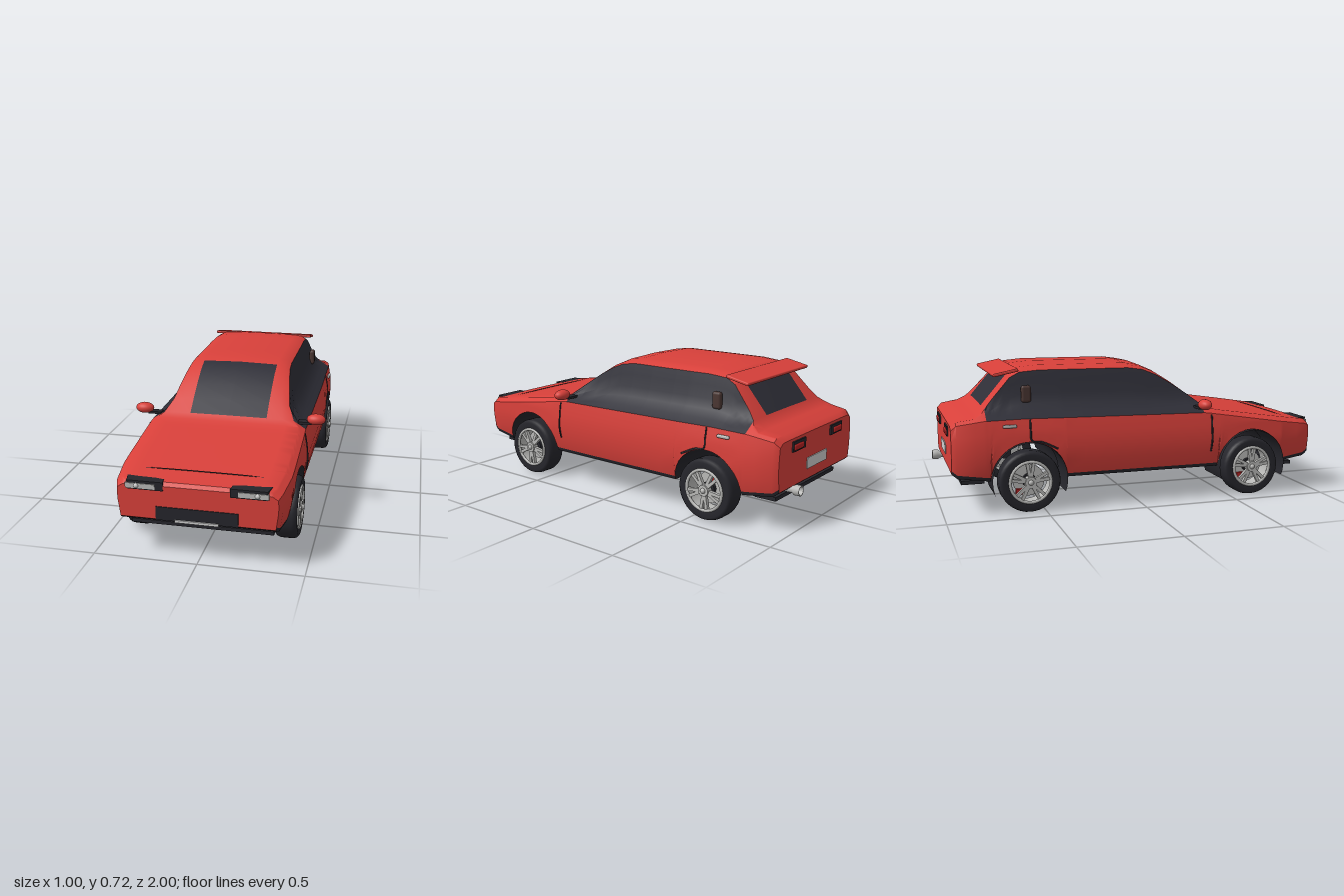
import * as THREE from 'three';
import { toCreasedNormals } from 'three/addons/utils/BufferGeometryUtils.js';
import { RoundedBoxGeometry } from 'three/addons/geometries/RoundedBoxGeometry.js';

const mat = (name, color, side = THREE.FrontSide) =>
  Object.assign(new THREE.MeshStandardMaterial({ color, side }), { name });
const red = mat('red paint', 0xd8403a);
const glass = mat('dark glass', 0x2e2e37);
const trim = mat('black trim', 0x25252b, THREE.DoubleSide);
const rubber = mat('tyre rubber', 0x26262c);
const silver = mat('silver metal', 0xb9b9b7, THREE.DoubleSide);
const pale = mat('number plate grey', 0xcfcfcf);
const brown = mat('brown vent', 0x4a3632);
const lamp = mat('lamp red', 0xb32222);

// Piecewise linear lookup in a table of [key, value] with rising keys
function look(table, v) {
  if (v <= table[0][0]) return table[0][1];
  for (let i = 1; i < table.length; i++) {
    const [a, p] = table[i - 1], [b, q] = table[i];
    if (v <= b) return p + (q - p) * (v - a) / (b - a);
  }
  return table[table.length - 1][1];
}

// Body lines along z: centre top, belt, half width and floor
const TOP = [[-.955, .44], [-.93, .462], [-.84, .475], [-.8, .50], [-.65, .68], [-.6, .708], [-.5, .717],
  [-.03, .715], [.05, .703], [.12, .672], [.2, .62], [.28, .56], [.35, .50], [.38, .477], [.45, .464],
  [.6, .442], [.8, .412], [.97, .386], [.985, .37]];
const BELT = [[-.955, .42], [-.93, .445], [-.8, .464], [-.6, .468], [.36, .455], [.8, .387], [.96, .364], [.985, .35]];
const WIDTH = [[-.955, .37], [-.93, .39], [-.8, .41], [-.4, .42], [.4, .42], [.8, .41], [.95, .39], [.985, .375]];
const FLOOR = [[-.955, .205], [-.93, .185], [-.77, .165], [.81, .165], [.96, .185], [.985, .205]];
// Side bulge by height, and how far the cabin leans in above the belt
const BULGE = [[.16, .93], [.2, .965], [.3, 1], [.4, .985], [.47, .95]];
const LEAN = [[0, 0], [.02, .03], [.045, .07], [.09, .095], [.16, .112], [.25, .14]];
const AXLES = [.62, -.58], ARCH = .19, ARCH_Y = .165;

const sideX = (z, y) => look(WIDTH, z) * look(BULGE, y);
const inArch = z => AXLES.some(c => Math.abs(z - c) < ARCH - 1e-4);
function floorY(z) {
  for (const c of AXLES) if (Math.abs(z - c) < ARCH) return ARCH_Y + Math.sqrt(ARCH ** 2 - (z - c) ** 2);
  return look(FLOOR, z);
}

// Half cross-section from the floor centre round to the roof centre
function section(z) {
  const yb = floorY(z), belt = look(BELT, z), top = look(TOP, z), rise = top - belt;
  const pts = [[0, yb], [sideX(z, yb), yb], [sideX(z, yb + .018), yb + .018]];
  for (const t of [.25, .5, .75, 1]) {
    const y = yb + .018 + (belt - yb - .018) * t;
    pts.push([sideX(z, y), y]);
  }
  let x;
  for (const t of [.1, .25, .45, .7, .9]) {
    x = sideX(z, belt) - look(LEAN, rise * t);
    pts.push([x, belt + rise * t]);
  }
  pts.push([.2 + (x - .2) * .6, belt + rise * .955], [.2, belt + rise * .98], [0, top]);
  return pts;
}

function bodyGeometry() {
  const zs = [...TOP.map(p => p[0]), -.785, -.63, -.3, -.15, .35, .9, .95];
  for (const c of AXLES) for (let k = 0; k <= 16; k++) zs.push(c + ARCH * Math.cos(Math.PI * k / 16));
  zs.sort((a, b) => b - a);
  const stations = zs.filter((z, i) => i === 0 || zs[i - 1] - z > 1e-5);
  const n = section(0).length - 1, m = 2 * n, pos = [], faces = [[], [], []];
  for (const z of stations) {
    const s = section(z);
    for (let k = 0; k < m; k++) {
      const p = s[k <= n ? k : m - k];
      pos.push(k <= n ? p[0] : -p[0], p[1], z);
    }
  }
  const quad = (slot, a, b, c, d) => faces[slot].push(a, b, c, a, c, d);
  const within = (z, lo, hi) => z > lo && z < hi;
  for (let i = 0; i < stations.length - 1; i++) {
    const z = (stations[i] + stations[i + 1]) / 2;
    for (let k = 0; k < m; k++) {
      const j = k < n ? k : m - 1 - k, k2 = (k + 1) % m;
      let slot = 0;
      if (j === 0 || (j === 1 && !inArch(z))) slot = 2;
      if (j >= 6 && j <= 10 && within(z, -.785, .35)) slot = 1;
      if (j === n - 1 && (within(z, .05, .35) || within(z, -.785, -.63))) slot = 1;
      quad(slot, i * m + k, (i + 1) * m + k, (i + 1) * m + k2, i * m + k2);
    }
  }
  // Nose and tail faces
  const e = (stations.length - 1) * m;
  for (let j = 0; j < n; j++) {
    const l = (m - j) % m, l2 = m - j - 1;
    quad(0, l, j, j + 1, l2);
    quad(0, e + j, e + l, e + l2, e + j + 1);
  }
  const g = new THREE.BufferGeometry();
  g.setAttribute('position', new THREE.Float32BufferAttribute(pos, 3));
  g.setIndex(faces.flat());
  let start = 0;
  faces.forEach((f, i) => { g.addGroup(start, f.length, i); start += f.length; });
  return toCreasedNormals(g, .6);
}

export function createModel() {
  const car = new THREE.Group();
  car.name = 'car';
  const add = (name, geo, material, x = 0, y = 0, z = 0, parent = car) => {
    const mesh = new THREE.Mesh(geo, material);
    mesh.name = name;
    mesh.position.set(x, y, z);
    parent.add(mesh);
    return mesh;
  };
  const box = (w, h, d) => new THREE.BoxGeometry(w, h, d);
  const line = (pts, r) => new THREE.TubeGeometry(
    new THREE.CatmullRomCurve3(pts.map(p => new THREE.Vector3(...p))), 20, r, 5);

  add('body', bodyGeometry(), [red, glass, trim]);

  // Wheel: axis along local y, outer side at +y
  function wheel(name, s, z) {
    const w = new THREE.Group();
    w.name = name;
    w.position.set(s * .37, .155, z);
    w.rotation.z = -s * Math.PI / 2;
    car.add(w);
    const profile = [[.105, -.05], [.138, -.055], [.15, -.046], [.155, -.03], [.155, .03], [.15, .046], [.138, .055], [.105, .05]];
    add('tyre', new THREE.LatheGeometry(profile.map(p => new THREE.Vector2(...p)), 40), rubber, 0, 0, 0, w);
    add('rimBarrel', new THREE.CylinderGeometry(.105, .105, .1, 40, 1, true), silver, 0, 0, 0, w);
    add('rimLip', new THREE.TorusGeometry(.102, .008, 8, 40), silver, 0, .05, 0, w).rotation.x = Math.PI / 2;
    add('brakeDisc', new THREE.CylinderGeometry(.08, .08, .012, 32), silver, 0, -.01, 0, w);
    add('axleHub', new THREE.CylinderGeometry(.035, .035, .06, 20), trim, 0, -.015, 0, w);
    add('brakeCaliper', box(.03, .03, .05), lamp, -.055, -.005, -.04, w);
    add('hub', new THREE.CylinderGeometry(.028, .032, .03, 24), silver, 0, .045, 0, w);
    add('hubCap', new THREE.SphereGeometry(.014, 16, 10), silver, 0, .058, 0, w);
    for (let k = 0; k < 10; k++) {
      const spoke = new THREE.Group();
      spoke.rotation.y = Math.floor(k / 2) * Math.PI * .4 + (k % 2 ? .17 : -.17);
      w.add(spoke);
      add('spoke', box(.08, .018, .016), silver, .064, .045, 0, spoke);
    }
  }

  for (const s of [1, -1]) {
    AXLES.forEach((z, i) => wheel(i ? 'rearWheel' : 'frontWheel', s, z));

    // Door mirror
    add('mirror', new THREE.SphereGeometry(1, 24, 16), red, s * .451, .505, .33).scale.set(.048, .028, .034);
    add('mirrorArm', box(.07, .012, .04), trim, s * .395, .484, .325);

    // Door seams, handle and pillar vent
    const seam = pts => line(pts.map(([z, y]) => [s * sideX(z, y), y, z]), .005);
    add('frontDoorSeam', seam([[.385, .25], [.39, .3], [.39, .38], [.39, .445]]), trim);
    add('rearDoorSeam', seam([[-.573, .465], [-.573, .41], [-.568, .36], [-.52, .352], [-.44, .315]]), trim);
    add('doorHandle', new RoundedBoxGeometry(.016, .016, .068, 2, .006), silver, s * .407, .436, -.675);
    add('pillarVent', new RoundedBoxGeometry(.03, .085, .05, 3, .013), brown, s * .311, .58, -.575);

    // Headlight
    const plan = [[.155, .99], [.16, .95], [.325, .912], [.34, .925], [.325, .99]]
      .map(([x, z]) => new THREE.Vector2(s * x, -z));
    add('headlightHousing', new THREE.ExtrudeGeometry(new THREE.Shape(plan), { depth: .042, bevelEnabled: false }),
      trim, 0, .348, 0).rotation.x = -Math.PI / 2;
    add('headlightLens', box(.14, .024, .012), silver, s * .262, .366, .988);
    add('headlightBulb', new THREE.SphereGeometry(.014, 16, 12), pale, s * .28, .366, .986);

    // Tail light
    add('tailLightHousing', box(.12, .05, .02), trim, s * .19, .4, -.953);
    add('tailLightLens', new RoundedBoxGeometry(.09, .03, .02, 2, .008), lamp, s * .2, .396, -.96);
  }

  // Wheel arch liners on one side
  for (const z of AXLES) {
    add('archLiner', new THREE.CylinderGeometry(.187, .187, .22, 32, 1, true, -.36, Math.PI + .72),
      trim, -.32, ARCH_Y, z).rotation.z = Math.PI / 2;
  }

  // Nose
  add('grille', box(.385, .066, .01), trim, 0, .236, .984);
  add('frontPlate', box(.205, .012, .02), pale, 0, .206, .986);
  add('bonnetSeam', line([[-.345, .397, .86], [-.2, .402, .86], [0, .403, .86], [.2, .402, .86], [.345, .397, .86]], .003), trim);
  add('frontSplitter', box(.68, .018, .1), trim, 0, .143, .85);

  // Tail
  add('rearPlate', box(.2, .055, .008), pale, 0, .285, -.956);
  add('rearValance', box(.6, .02, .115), trim, 0, .146, -.848);
  add('spoiler', new RoundedBoxGeometry(.585, .016, .13, 2, .006), red, 0, .685, -.67).rotation.x = -.2;
  const pipe = [[.018, -.08], [.018, .02], [.026, .03], [.026, .06], [.02, .06], [.016, -.02], [0, -.02]];
  add('exhaust', new THREE.LatheGeometry(pipe.map(p => new THREE.Vector2(...p)), 24), silver, .23, .19, -.94)
    .rotation.x = -Math.PI / 2;

  return car;
}
